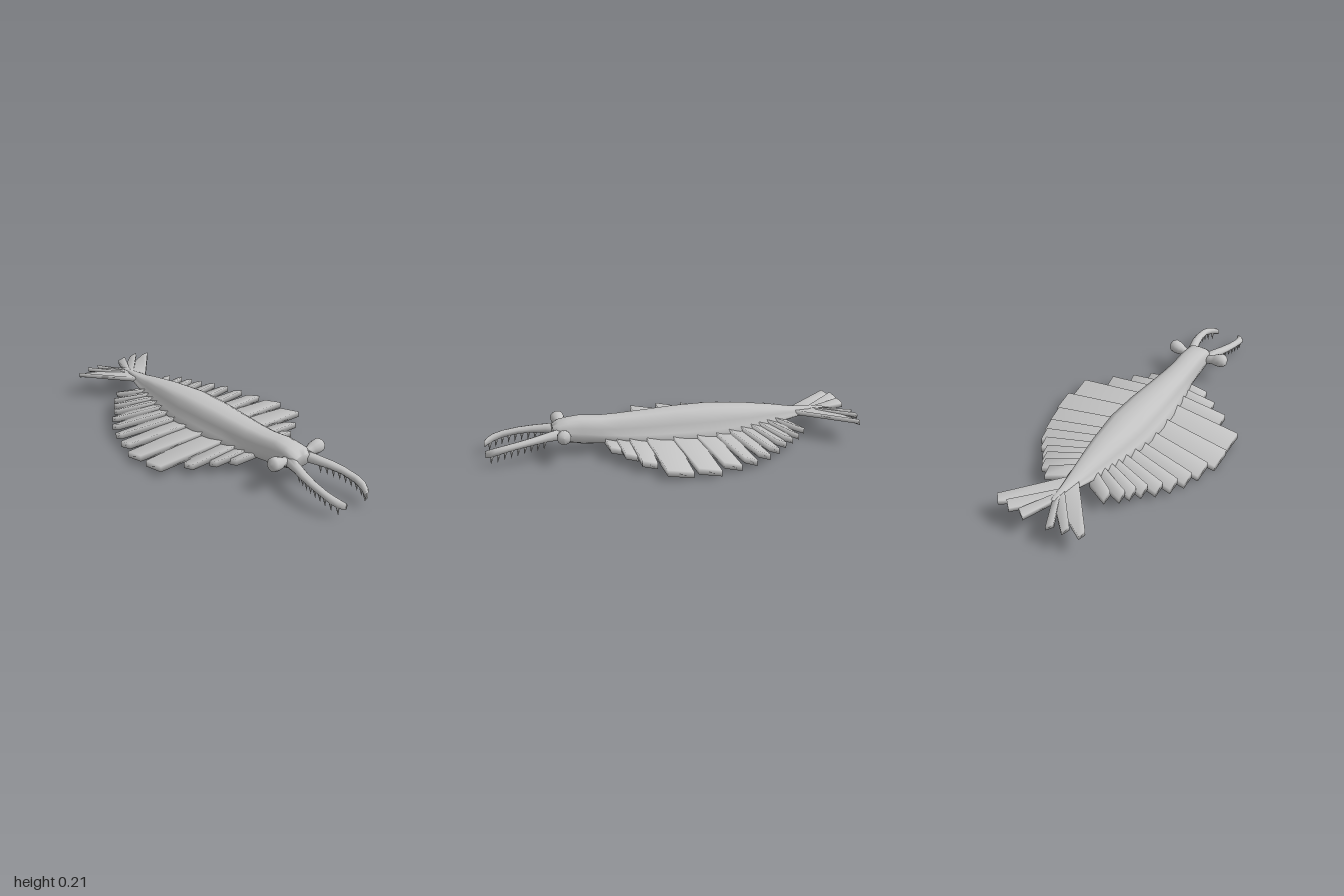
import * as THREE from 'three';
import { mergeVertices } from 'three/addons/utils/BufferGeometryUtils.js';

const skin = new THREE.MeshStandardMaterial({ color: 0xc4c4c4 });
skin.name = 'paleGrey';

// Closed skin through rings that follow +x; each ring runs from +y towards +z
function loft(rings) {
  const n = rings[0].length, pos = rings.flat(2), idx = [];
  for (let i = 0; i < rings.length - 1; i++) {
    for (let j = 0; j < n; j++) {
      const a = i * n + j, b = i * n + (j + 1) % n;
      idx.push(a, b, b + n, a, b + n, a + n);
    }
  }
  const last = (rings.length - 1) * n;
  for (let j = 1; j < n - 1; j++) {
    idx.push(0, j + 1, j, last, last + j, last + j + 1);
  }
  const g = new THREE.BufferGeometry();
  g.setAttribute('position', new THREE.Float32BufferAttribute(pos, 3));
  g.setIndex(idx);
  g.computeVertexNormals();
  return g;
}

// Soft-shaded slab between a root edge and a tip edge, corners given as [x, y, z]
function blade(rootRear, rootFront, tipRear, tipFront, thick) {
  const box = new THREE.BoxGeometry(1, 1, 1);
  box.deleteAttribute('normal');
  box.deleteAttribute('uv');
  const g = mergeVertices(box);
  const p = g.attributes.position;
  const [a, b, c, d] = [rootRear, rootFront, tipRear, tipFront].map(v => new THREE.Vector3(...v));
  for (let i = 0; i < p.count; i++) {
    const v = p.getX(i) + 0.5, u = p.getZ(i) + 0.5;
    const root = a.clone().lerp(b, v), tip = c.clone().lerp(d, v);
    const q = root.lerp(tip, u);
    p.setXYZ(i, q.x, q.y + p.getY(i) * thick, q.z);
  }
  g.computeVertexNormals();
  return g;
}

// Copy reflected across the z = 0 plane, with the corner order reversed
function mirrored(g) {
  const m = g.clone(), p = m.attributes.position, ix = m.index;
  for (let i = 0; i < p.count; i++) p.setZ(i, -p.getZ(i));
  for (let i = 0; i < ix.count; i += 3) {
    const t = ix.getX(i);
    ix.setX(i, ix.getX(i + 1));
    ix.setX(i + 1, t);
  }
  m.computeVertexNormals();
  return m;
}

export function createModel() {
  const model = new THREE.Group();
  model.name = 'swimmingArthropod';
  const add = (name, g) => {
    const m = new THREE.Mesh(g, skin);
    m.name = name;
    model.add(m);
  };
  const pair = (name, g) => {
    add(name + 'Near', g);
    add(name + 'Far', mirrored(g));
  };

  // Body: x, top, bottom, back half width, skirt half width, skirt height
  const stations = [
    [-0.85, 0.148, 0.125, 0.01, 0.012, 0.137],
    [-0.75, 0.155, 0.118, 0.022, 0.03, 0.13],
    [-0.66, 0.16, 0.105, 0.04, 0.055, 0.12],
    [-0.55, 0.178, 0.085, 0.058, 0.08, 0.105],
    [-0.4, 0.197, 0.065, 0.08, 0.11, 0.09],
    [-0.2, 0.212, 0.05, 0.1, 0.135, 0.08],
    [0, 0.21, 0.045, 0.095, 0.135, 0.08],
    [0.15, 0.202, 0.045, 0.085, 0.12, 0.08],
    [0.3, 0.196, 0.048, 0.075, 0.095, 0.085],
    [0.4, 0.195, 0.053, 0.068, 0.075, 0.095],
    [0.5, 0.205, 0.06, 0.066, 0.07, 0.11],
    [0.57, 0.198, 0.07, 0.064, 0.07, 0.125],
    [0.62, 0.187, 0.09, 0.066, 0.072, 0.13],
    [0.65, 0.165, 0.105, 0.048, 0.055, 0.135],
  ];
  add('body', loft(stations.map(([x, top, bot, w, skirt, ys]) => {
    const h = top - ys;
    const half = [
      [top, 0], [top - h * 0.04, w * 0.5], [top - h * 0.18, w * 0.85],
      [top - h * 0.5, w], [ys + h * 0.18, w + (skirt - w) * 0.35], [ys, skirt],
      [bot + (ys - bot) * 0.35, skirt * 0.85], [bot + (ys - bot) * 0.08, skirt * 0.5], [bot, 0],
    ];
    const other = half.slice(1, -1).reverse().map(([y, z]) => [y, -z]);
    return [...half, ...other].map(([y, z]) => [x, y, z]);
  })));

  // Swimming lobes: tip rear x, tip front x, reach
  const lobes = [
    [0.3, 0.37, 0.18], [0.245, 0.31, 0.26], [0.165, 0.245, 0.36], [0.01, 0.145, 0.485],
    [-0.13, -0.01, 0.495], [-0.245, -0.15, 0.46], [-0.335, -0.265, 0.43], [-0.415, -0.35, 0.395],
    [-0.48, -0.42, 0.35], [-0.535, -0.48, 0.3], [-0.585, -0.53, 0.265],
    [-0.63, -0.585, 0.235], [-0.68, -0.63, 0.18],
  ];
  lobes.forEach(([x0, x1, reach], i) => {
    const lean = THREE.MathUtils.clamp(0.13 * (0.1 - x0), 0, 0.065);
    const lift = Math.max(0, -0.3 - x0) * 0.08;
    const z = Math.min(0.07, reach * 0.3);
    const front = s => 0.083 - 0.07 * s + lift, rear = s => 0.064 - 0.083 * s + lift;
    pair('swimLobe' + (i + 1), blade(
      [x0 + lean - 0.006, rear(z), z], [x1 + lean + 0.016, front(z), z],
      [x0, rear(reach), reach - 0.006], [x1, front(reach), reach], 0.033));
  });

  // Tail fan
  pair('tailBladeOuter', blade([-0.84, 0.13, 0.012], [-0.68, 0.135, 0.035],
    [-0.975, 0.12, 0.23], [-0.948, 0.138, 0.25], 0.026));
  pair('tailBladeMiddle', blade([-0.85, 0.13, 0.006], [-0.77, 0.138, 0.014],
    [-0.995, 0.125, 0.15], [-0.968, 0.148, 0.178], 0.024));
  pair('tailBladeInner', blade([-0.86, 0.13, 0.002], [-0.8, 0.138, 0.01],
    [-1, 0.118, 0.065], [-0.98, 0.138, 0.1], 0.024));

  // Eyes on short stalks
  const eyeProfile = [[0, 0], [0.024, 0], [0.024, 0.045], [0.032, 0.065], [0.037, 0.09],
    [0.036, 0.115], [0.024, 0.129], [0, 0.133]].map(([r, y]) => new THREE.Vector2(r, y));
  const eye = new THREE.LatheGeometry(eyeProfile, 12);
  eye.applyQuaternion(new THREE.Quaternion().setFromUnitVectors(
    new THREE.Vector3(0, 1, 0), new THREE.Vector3(0.1, 0.2, 1).normalize()));
  eye.translate(0.596, 0.13, 0.05);
  pair('eye', eye);

  // Grasping arms: x, y, z, half height, half width
  const arm = [
    [0.59, 0.132, 0.045, 0.032, 0.032], [0.68, 0.128, 0.068, 0.024, 0.028],
    [0.75, 0.122, 0.09, 0.02, 0.026], [0.82, 0.114, 0.105, 0.018, 0.023],
    [0.9, 0.1, 0.111, 0.019, 0.02], [0.95, 0.086, 0.104, 0.021, 0.02],
    [0.98, 0.074, 0.09, 0.021, 0.018], [1, 0.065, 0.072, 0.018, 0.01],
  ];
  pair('graspingArm', loft(arm.map(([x, y, z, h, w]) => Array.from({ length: 10 }, (_, k) => {
    const t = k / 10 * Math.PI * 2;
    return [x, y + h * Math.cos(t), z + w * Math.sin(t)];
  }))));

  // Spines under the arms
  for (let i = 0; i < 9; i++) {
    const x = 0.7 + i * 0.034;
    const k = arm.findIndex(a => a[0] > x);
    const t = (x - arm[k - 1][0]) / (arm[k][0] - arm[k - 1][0]);
    const [, y, z, h] = arm[k].map((v, j) => THREE.MathUtils.lerp(arm[k - 1][j], v, t));
    const spine = new THREE.ConeGeometry(0.012, 0.056, 6);
    spine.rotateX(Math.PI);
    spine.rotateZ(0.15);
    spine.translate(x, y - h - 0.014, z);
    pair('armSpine' + (i + 1), spine);
  }
  return model;
}
